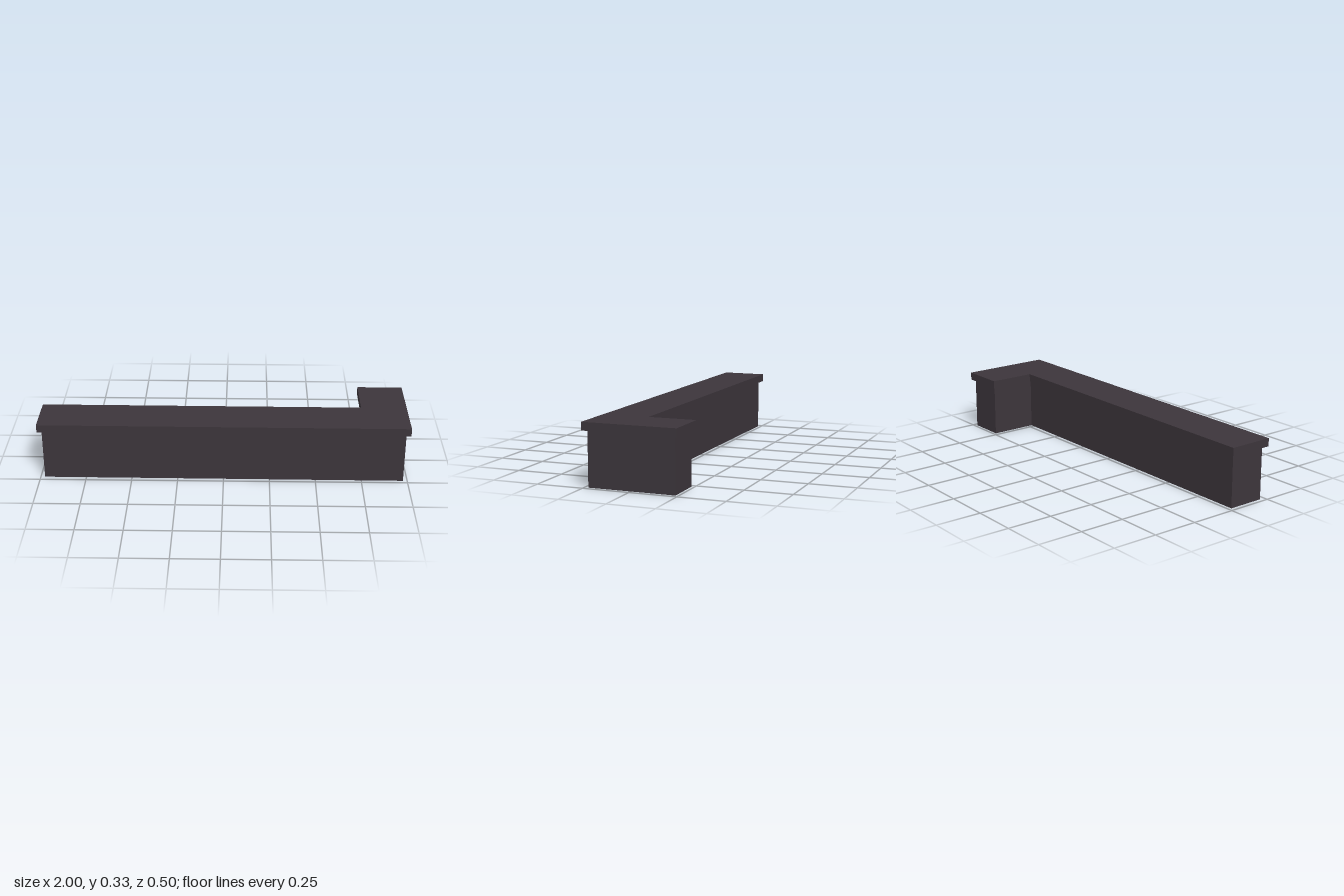
import * as THREE from 'three';

const CAP_BOTTOM = 0.287, CAP_TOP = 0.33;

// L-shaped outlines as [x, z], running front left, front right, then round the short return leg
const capOutline = [[-1, 0.243], [1, 0.251], [1, -0.251], [0.75, -0.251], [0.75, 0.004], [-1, -0.003]];
const bodyOutline = [[-0.977, 0.221], [0.977, 0.229], [0.977, -0.234], [0.772, -0.234], [0.772, 0.025], [-0.977, 0.019]];

// Solid slab with the given outline
function slab(outline, y0, y1) {
  const shape = new THREE.Shape(outline.map(([x, z]) => new THREE.Vector2(x, -z)));
  const geometry = new THREE.ExtrudeGeometry(shape, { depth: y1 - y0, bevelEnabled: false });
  return geometry.rotateX(-Math.PI / 2).translate(0, y0, 0);
}

// Upright walls along the outline, open at top and bottom
function walls(outline, y0, y1) {
  const positions = [];
  outline.forEach(([ax, az], i) => {
    const [bx, bz] = outline[(i + 1) % outline.length];
    positions.push(ax, y0, az, bx, y0, bz, bx, y1, bz);
    positions.push(ax, y0, az, bx, y1, bz, ax, y1, az);
  });
  const geometry = new THREE.BufferGeometry();
  geometry.setAttribute('position', new THREE.Float32BufferAttribute(positions, 3));
  geometry.computeVertexNormals();
  return geometry;
}

export function createModel() {
  const group = new THREE.Group();
  group.name = 'counter';

  const material = new THREE.MeshStandardMaterial({ color: 0x3c353b, side: THREE.DoubleSide });
  material.name = 'dark plum grey';

  // Hollow base, open underneath
  const body = new THREE.Mesh(walls(bodyOutline, 0, CAP_BOTTOM), material);
  body.name = 'counterWalls';

  // Overhanging top
  const top = new THREE.Mesh(slab(capOutline, CAP_BOTTOM, CAP_TOP), material);
  top.name = 'counterTop';

  group.add(body, top);
  return group;
}
